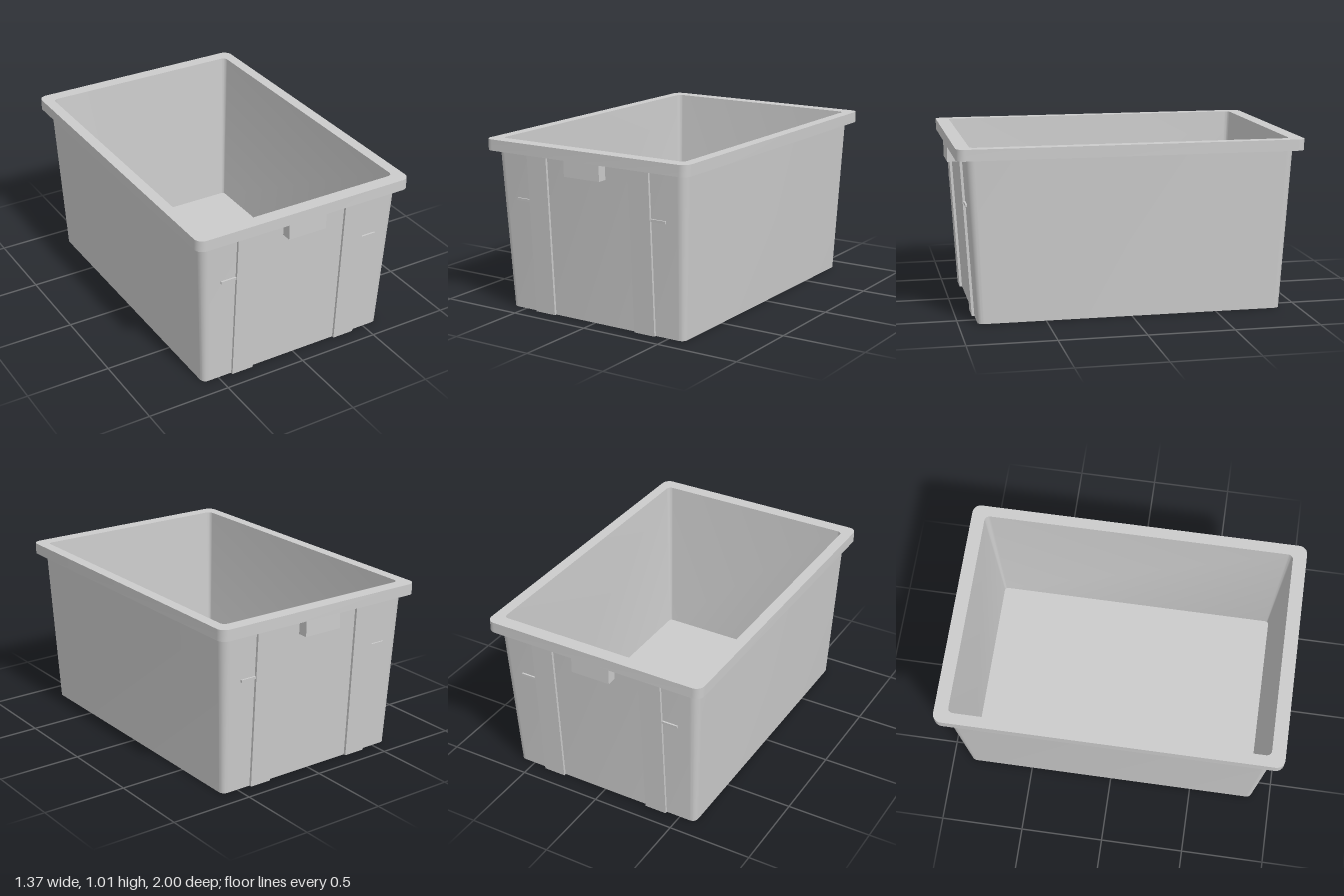
import * as THREE from 'three';
import { toCreasedNormals } from 'three/addons/utils/BufferGeometryUtils.js';

const RIM_BOTTOM = 0.945, TOP = 1.01;
const BASE_Z = 0.89, WALL_Z = 0.945; // end wall at the base and under the rim
const SLOPE = (WALL_Z - BASE_Z) / RIM_BOTTOM;
const material = new THREE.MeshStandardMaterial({ color: 0xcccccc });

// Rounded rectangle at height y, counter-clockwise from above
function ring(hx, hz, r, y, steps = 8) {
  const points = [];
  const signs = [[1, 1], [-1, 1], [-1, -1], [1, -1]];
  signs.forEach(([sx, sz], corner) => {
    for (let i = 0; i <= steps; i++) {
      const t = (corner + i / steps) * Math.PI / 2;
      points.push(new THREE.Vector3(
        sx * (hx - r) + r * Math.cos(t), y, -sz * (hz - r) - r * Math.sin(t)));
    }
  });
  return points;
}

// Skin through successive rings
function loft(rings) {
  const pos = [];
  const tri = (a, b, c) => {
    const area = b.clone().sub(a).cross(c.clone().sub(a)).length();
    if (area > 1e-9) pos.push(...a.toArray(), ...b.toArray(), ...c.toArray());
  };
  for (let k = 0; k < rings.length - 1; k++) {
    const a = rings[k], b = rings[k + 1];
    for (let i = 0; i < a.length; i++) {
      const j = (i + 1) % a.length;
      tri(a[i], a[j], b[j]);
      tri(a[i], b[j], b[i]);
    }
  }
  const geo = new THREE.BufferGeometry();
  geo.setAttribute('position', new THREE.Float32BufferAttribute(pos, 3));
  return toCreasedNormals(geo, Math.PI / 6);
}

// Box lying on the sloping end wall, from slightly inside it to `out` beyond it
function wallBox(x0, x1, y0, y1, out) {
  const inset = 0.01;
  const geo = new THREE.BoxGeometry(x1 - x0, y1 - y0, out + inset);
  geo.translate((x0 + x1) / 2, (y0 + y1) / 2, BASE_Z + (out - inset) / 2);
  const p = geo.attributes.position;
  for (let i = 0; i < p.count; i++) p.setZ(i, p.getZ(i) + SLOPE * p.getY(i));
  geo.computeVertexNormals();
  return geo;
}

export function createModel() {
  const model = new THREE.Group();
  model.name = 'storageBin';
  const add = (name, geo, parent = model) => {
    const mesh = new THREE.Mesh(geo, material);
    mesh.name = name;
    parent.add(mesh);
    return mesh;
  };

  // Tapered tub: underside and outer walls, then inner walls and floor
  add('outerWalls', loft([
    ring(0, 0, 0, 0),
    ring(0.6, BASE_Z, 0.035, 0),
    ring(0.64, WALL_Z, 0.05, RIM_BOTTOM),
  ]));
  add('innerWalls', loft([
    ring(0.62, 0.92, 0.03, TOP),
    ring(0.585, 0.872, 0.02, 0.02),
    ring(0, 0, 0, 0.02),
  ]));

  // Overhanging rim
  add('rim', loft([
    ring(0.635, 0.94, 0.05, RIM_BOTTOM),
    ring(0.685, 1, 0.05, RIM_BOTTOM),
    ring(0.685, 1, 0.05, TOP),
    ring(0.62, 0.92, 0.03, TOP),
  ]));

  // Matching details on both end walls
  for (const [name, turn] of [['frontEnd', 0], ['backEnd', Math.PI]]) {
    const end = new THREE.Group();
    end.name = name;
    end.rotation.y = turn;
    model.add(end);

    for (const s of [-1, 1]) {
      const span = (a, b) => (s > 0 ? [a, b] : [-b, -a]);
      add('verticalRib', wallBox(...span(0.28, 0.415), 0, RIM_BOTTOM, 0.015), end);
      add('smallLedge', wallBox(...span(0.415, 0.51), 0.66, 0.675, 0.01), end);
    }

    // Latch tab hanging below the rim
    const tab = new THREE.BoxGeometry(0.24, RIM_BOTTOM - 0.855, 0.07);
    tab.translate(0, (RIM_BOTTOM + 0.855) / 2, 0.965);
    add('latchTab', tab, end);
  }
  return model;
}
